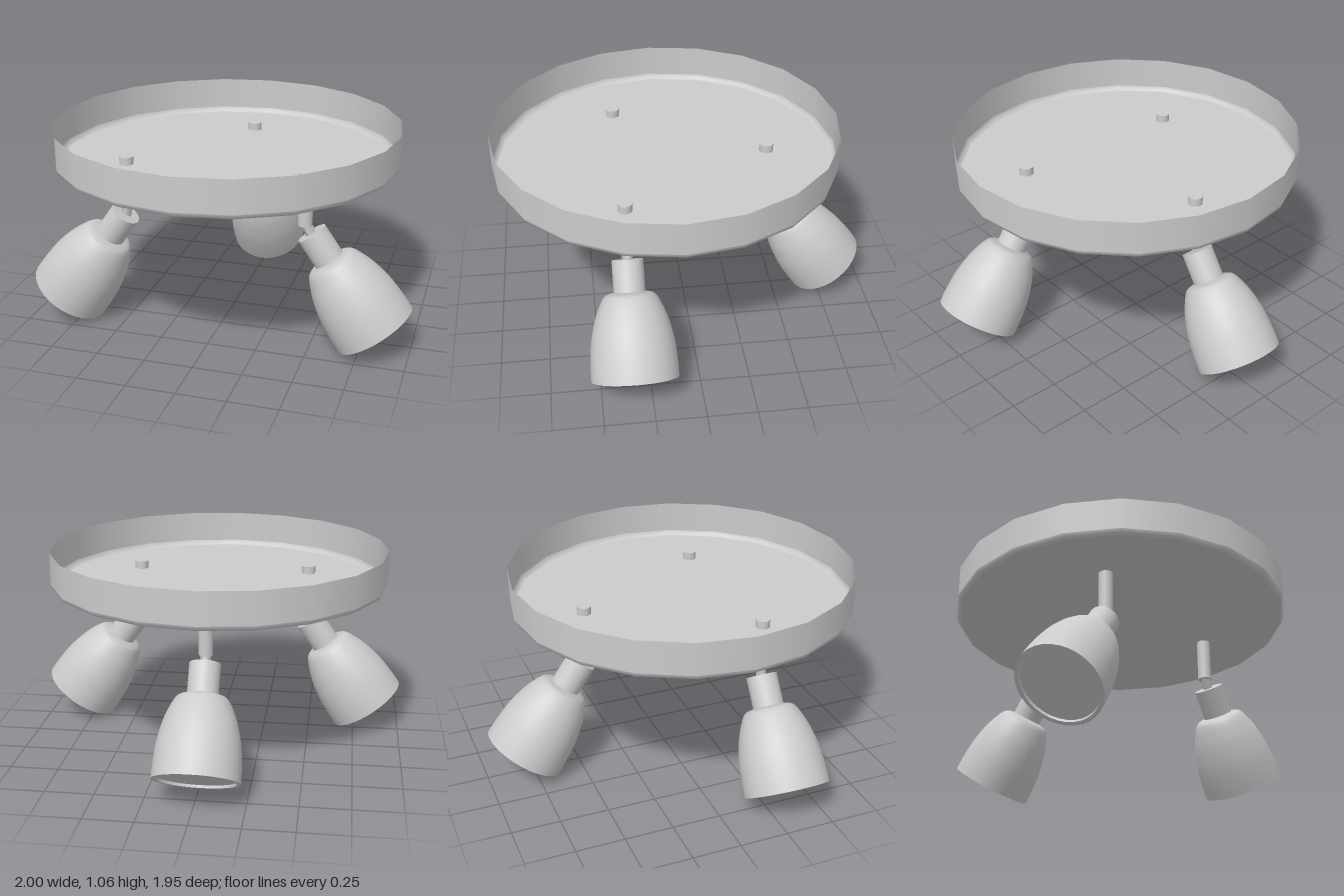
import * as THREE from 'three';

const grey = new THREE.MeshStandardMaterial({ color: 0xcccccc, side: THREE.DoubleSide });
const TILT = THREE.MathUtils.degToRad(35);

function part(name, geometry, parent) {
  const mesh = new THREE.Mesh(geometry, grey);
  mesh.name = name;
  parent.add(mesh);
  return mesh;
}

// Profile points are [radius, height], listed from the bottom up
function lathe(points, segments) {
  return new THREE.LatheGeometry(points.map(([r, y]) => new THREE.Vector2(r, y)), segments);
}

// Straight rod between two points
function rod(name, a, b, radius, sides, parent) {
  const dir = b.clone().sub(a);
  const mesh = part(name, new THREE.CylinderGeometry(radius, radius, dir.length(), sides), parent);
  mesh.position.copy(a).lerp(b, 0.5);
  mesh.quaternion.setFromUnitVectors(new THREE.Vector3(0, 1, 0), dir.normalize());
  return mesh;
}

// Open-topped ceiling pan with twenty sides
function createPan() {
  const pan = new THREE.Group();
  pan.name = 'ceilingPan';
  part('panFloor', lathe([[0, 0.869], [0.865, 0.869]], 20), pan);
  part('panEdge', lathe([[0.865, 0.869], [0.88, 0.877], [0.886, 0.895]], 20), pan);
  part('panWall', lathe([[0.886, 0.895], [0.886, 1.061]], 20), pan);
  pan.position.set(-0.011, 0, 0.089);
  return pan;
}

// Bell-shaped spotlight hanging along -y from its neck top
function createSpot() {
  const spot = new THREE.Group();
  spot.name = 'spotlight';
  const neck = part('neck', new THREE.CylinderGeometry(0.078, 0.078, 0.17, 32), spot);
  neck.position.y = -0.085;
  const curve = new THREE.SplineCurve([
    [0.216, -0.582], [0.214, -0.5], [0.205, -0.4], [0.183, -0.3],
    [0.157, -0.23], [0.135, -0.187], [0.115, -0.168], [0.078, -0.158],
  ].map(([r, y]) => new THREE.Vector2(r, y)));
  part('shade', new THREE.LatheGeometry(curve.getPoints(28), 32), spot);
  part('shadeRim', lathe([[0.196, -0.582], [0.216, -0.582]], 32), spot);
  part('rimInside', lathe([[0.196, -0.582], [0.194, -0.568]], 32), spot);
  const lens = part('lens', new THREE.CircleGeometry(0.194, 32), spot);
  lens.rotation.x = Math.PI / 2;
  lens.position.y = -0.568;
  return spot;
}

export function createModel() {
  const model = new THREE.Group();
  model.name = 'ceilingSpotlights';
  model.add(createPan());

  // Stem position, neck-top position and outward heading of each lamp
  const lamps = [
    { name: 'leftLamp', stem: [0.455, 0.332], neck: [0.489, 0.332], yaw: 0 },
    { name: 'rightLamp', stem: [-0.475, 0.332], neck: [-0.489, 0.332], yaw: Math.PI },
    { name: 'backLamp', stem: [-0.011, -0.439], neck: [-0.011, -0.465], yaw: Math.PI / 2 },
  ];
  for (const { name, stem, neck, yaw } of lamps) {
    const lamp = new THREE.Group();
    lamp.name = name;
    const at = ([x, z], y) => new THREE.Vector3(x, y, z);
    rod('stem', at(stem, 0.64), at(stem, 0.91), 0.036, 24, lamp);

    const spot = createSpot();
    spot.position.copy(at(neck, 0.601));
    spot.rotation.set(0, yaw, TILT);
    lamp.add(spot);

    // Small square arm linking stem and neck
    rod('joint', at(stem, 0.655), at(neck, 0.59), 0.028, 4, lamp);
    model.add(lamp);
  }
  return model;
}
